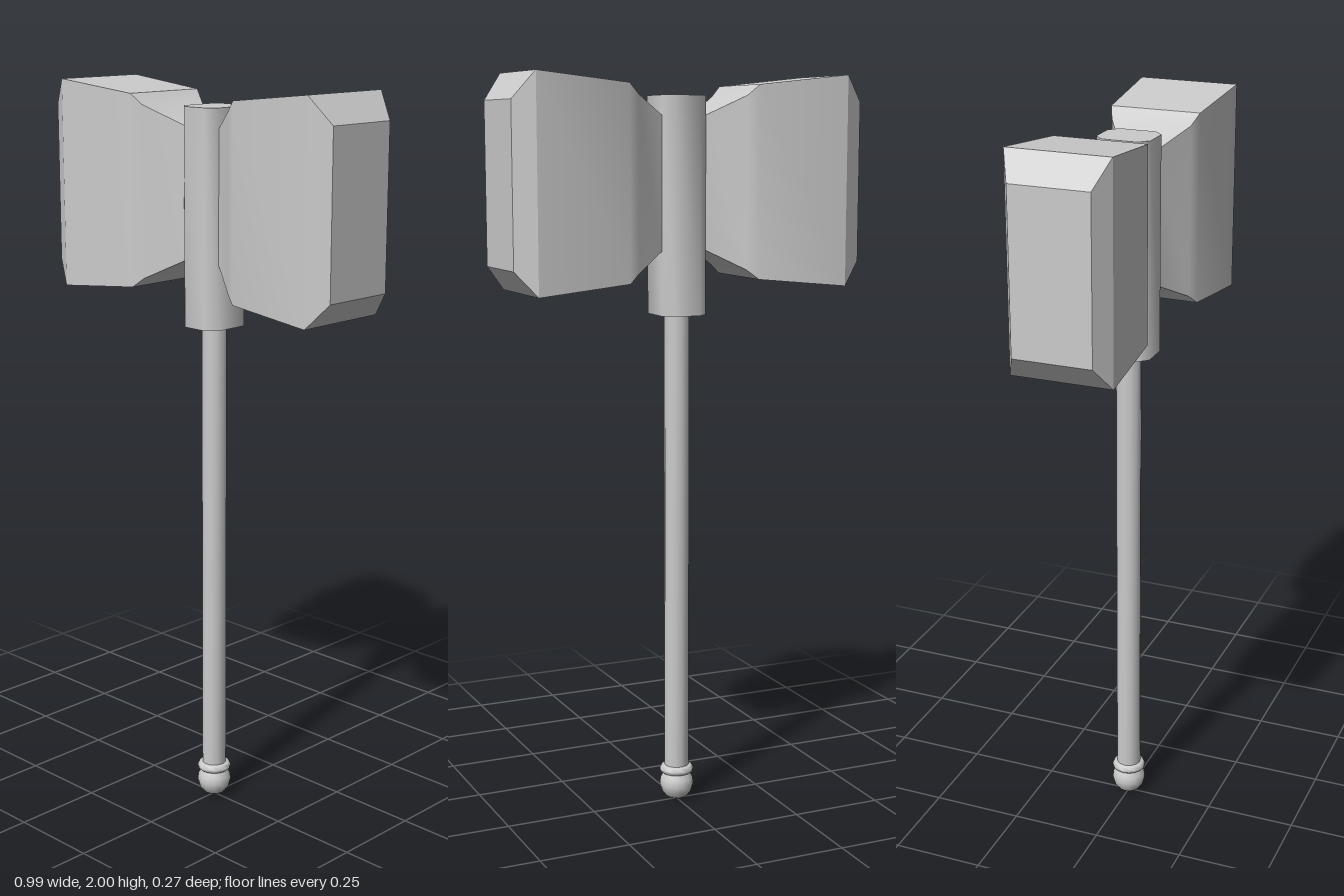
import * as THREE from 'three';
import { toCreasedNormals } from 'three/addons/utils/BufferGeometryUtils.js';

const material = new THREE.MeshStandardMaterial({ color: 0xcccccc });

function part(name, geometry, crease) {
  const mesh = new THREE.Mesh(toCreasedNormals(geometry, crease), material);
  mesh.name = name;
  return mesh;
}

// Closed loft of rectangular sections [x, yLow, yHigh, halfDepth] along +x
function loftBox(sections) {
  const positions = [], index = [];
  for (const [x, lo, hi, d] of sections) {
    positions.push(x, lo, d, x, lo, -d, x, hi, -d, x, hi, d);
  }
  for (let s = 0; s < sections.length - 1; s++) {
    for (let i = 0; i < 4; i++) {
      const a = s * 4 + i, b = s * 4 + (i + 1) % 4;
      index.push(a, b, b + 4, a, b + 4, a + 4);
    }
  }
  const e = (sections.length - 1) * 4;
  index.push(0, 2, 1, 0, 3, 2, e, e + 1, e + 2, e, e + 2, e + 3);
  const geometry = new THREE.BufferGeometry();
  geometry.setAttribute('position', new THREE.Float32BufferAttribute(positions, 3));
  geometry.setIndex(index);
  return geometry;
}

export function createModel() {
  const group = new THREE.Group();
  group.name = 'warHammer';

  // Two mirrored striking heads, narrow at the collar and chamfered at the face
  const sections = [
    [0.05, 1.545, 1.89, 0.044],
    [0.065, 1.54, 1.895, 0.048],
    [0.155, 1.49, 1.945, 0.109],
    [0.185, 1.465, 1.973, 0.123],
    [0.44, 1.44, 2.0, 0.136],
    [0.495, 1.505, 1.93, 0.105],
  ];
  for (const side of ['left', 'right']) {
    const head = part(side + 'Head', loftBox(sections), 0.4);
    if (side === 'right') head.rotation.y = Math.PI;
    group.add(head);
  }

  // Collar: an octagonal prism that grips the heads
  const outline = [[0.063, 0.048], [0.037, 0.073], [-0.037, 0.073], [-0.063, 0.048],
    [-0.063, -0.048], [-0.037, -0.073], [0.037, -0.073], [0.063, -0.048]];
  const shape = new THREE.Shape(outline.map(([x, z]) => new THREE.Vector2(x, z)));
  const collar = new THREE.ExtrudeGeometry(shape, { depth: 0.575, bevelEnabled: false });
  collar.rotateX(-Math.PI / 2).translate(0, 1.37, 0);
  group.add(part('collar', collar, 0.95));

  // Handle
  const handle = new THREE.CylinderGeometry(0.034, 0.034, 1.3, 12);
  handle.translate(0, 0.73, 0);
  group.add(part('handle', handle, 0.8));

  // Pommel: rounded knob, and a thin ring above it
  const lathe = (points) => new THREE.LatheGeometry(
    points.map(([r, y]) => new THREE.Vector2(r, y)), 16);
  group.add(part('pommel', lathe([[0, 0], [0.015, 0.003], [0.03, 0.011], [0.042, 0.026],
    [0.047, 0.045], [0.045, 0.063], [0.036, 0.079], [0, 0.083]]), 0.8));
  group.add(part('pommelRing', lathe([[0, 0.079], [0.04, 0.079], [0.046, 0.084],
    [0.047, 0.091], [0.043, 0.099], [0.034, 0.102], [0, 0.102]]), 0.8));

  return group;
}
